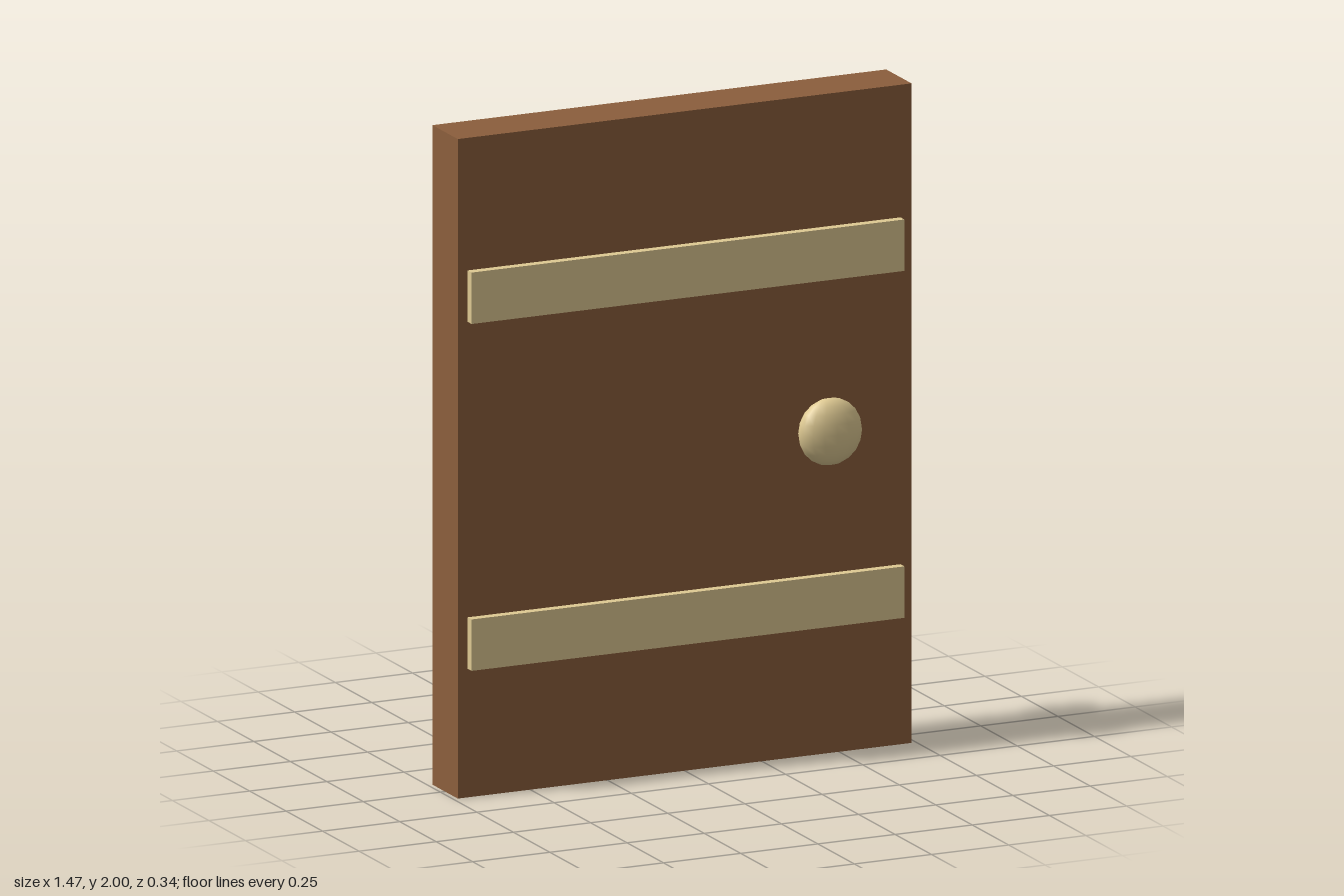
import * as THREE from 'three';

export function createModel() {
  const door = new THREE.Group();
  door.name = 'door';

  const wood = new THREE.MeshStandardMaterial({ color: 0x8b5e3c });
  wood.name = 'brown wood';
  const brass = new THREE.MeshStandardMaterial({ color: 0xdec992 });
  brass.name = 'pale brass';

  const add = (name, geometry, material, x, y, z) => {
    const mesh = new THREE.Mesh(geometry, material);
    mesh.name = name;
    mesh.position.set(x, y, z);
    door.add(mesh);
    return mesh;
  };

  // Main slab
  add('panel', new THREE.BoxGeometry(1.47, 2, 0.174), wood, 0, 1, 0);

  // Straps and knobs, the same on both faces
  const strap = new THREE.BoxGeometry(1.402, 0.156, 0.03);
  const knob = new THREE.SphereGeometry(0.102, 16, 10);
  knob.scale(1, 1, 0.5);

  for (const [side, s] of [['front', 1], ['back', -1]]) {
    add(side + 'UpperStrap', strap, brass, -0.002, 1.52, s * 0.099);
    add(side + 'LowerStrap', strap, brass, -0.002, 0.468, s * 0.099);
    add(side + 'Knob', knob, brass, 0.455, 0.985, s * 0.121);
  }

  return door;
}
